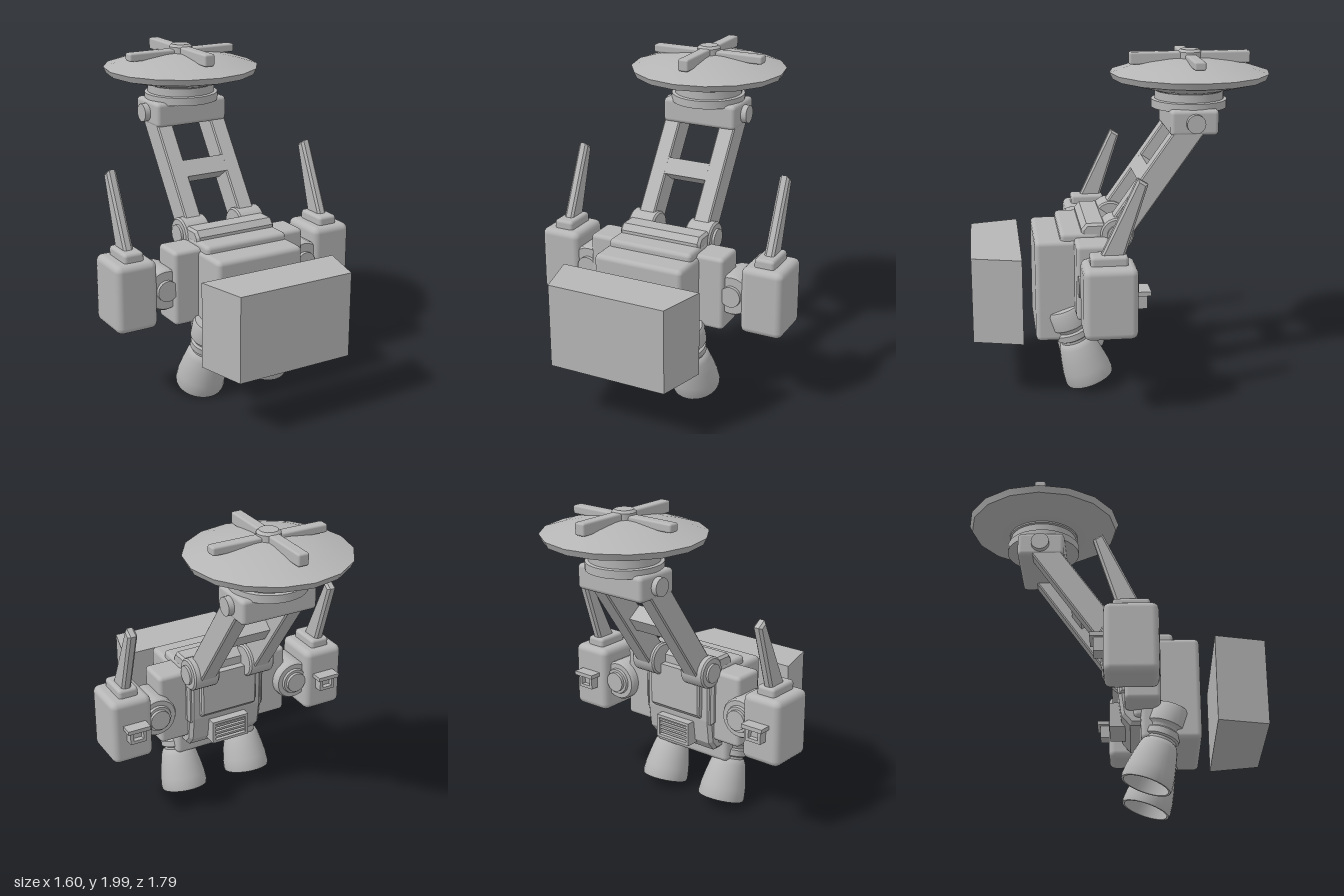
import * as THREE from 'three';
import { toCreasedNormals } from 'three/addons/utils/BufferGeometryUtils.js';
import { RoundedBoxGeometry } from 'three/addons/geometries/RoundedBoxGeometry.js';

export function createModel() {
  const model = new THREE.Group();
  const grey = new THREE.MeshStandardMaterial({ color: 0xb6b6b6 });

  const add = (name, geometry, parent = model) => {
    const mesh = new THREE.Mesh(geometry, grey);
    mesh.name = name;
    parent.add(mesh);
    return mesh;
  };
  // Bevelled box from its low and high corners
  const box = (name, [x0, y0, z0], [x1, y1, z1], r = 0.02, parent = model) => {
    const g = r > 0 ? new RoundedBoxGeometry(x1 - x0, y1 - y0, z1 - z0, 2, r)
      : new THREE.BoxGeometry(x1 - x0, y1 - y0, z1 - z0);
    g.translate((x0 + x1) / 2, (y0 + y1) / 2, (z0 + z1) / 2);
    return add(name, g, parent);
  };
  const lathe = (name, points, sides, parent = model) => add(name, toCreasedNormals(
    new THREE.LatheGeometry(points.map(p => new THREE.Vector2(...p)), sides), 0.6), parent);
  const polygon = points => new THREE.Shape(points.map(p => new THREE.Vector2(...p)));
  // Outline in (z, y), extruded along x around a centre
  const sideProfile = (name, points, x, width, bevel, parent = model) => {
    const g = new THREE.ExtrudeGeometry(polygon(points), {
      depth: width - 2 * bevel, bevelEnabled: bevel > 0, bevelSize: bevel,
      bevelThickness: bevel, bevelOffset: -bevel, bevelSegments: 1,
    });
    g.translate(0, 0, -(width - 2 * bevel) / 2).rotateY(-Math.PI / 2).translate(x, 0, 0);
    return add(name, g, parent);
  };

  // Front block, tapering towards the front
  const block = new THREE.ExtrudeGeometry(
    polygon([[-0.365, -0.895], [0.365, -0.895], [0.44, -0.605], [-0.44, -0.605]]),
    { depth: 0.51, bevelEnabled: false });
  block.rotateX(-Math.PI / 2).translate(0, 0.36, 0);
  add('frontBlock', block);

  // Stepped body
  box('chestFront', [-0.285, 0.31, 0.18], [0.285, 0.93, 0.525], 0.03);
  box('chestMiddleStep', [-0.27, 0.45, 0.14], [0.27, 0.972, 0.375], 0.025);
  sideProfile('chestUpperStep', [[0.06, 0.6], [0.25, 0.6], [0.25, 0.99], [0.22, 1.025], [0.12, 1.025], [0.06, 0.98]], 0, 0.53, 0.015);
  sideProfile('backBody', [[0.07, 0.47], [0.12, 0.41], [0.3, 0.41], [0.3, 0.9], [0.05, 0.9], [0.05, 0.62]], 0, 0.5, 0.02);
  sideProfile('backPanel', [[0.06, 0.62], [0.1, 0.62], [0.1, 0.93], [0.015, 0.93], [0.015, 0.66]], 0, 0.38, 0.01);

  // Back vent with slats
  const vent = new THREE.Group();
  vent.name = 'backVent';
  model.add(vent);
  box('ventBack', [-0.11, 0.45, 0.025], [0.11, 0.59, 0.1], 0, vent);
  for (const y of [0.445, 0.575]) box('ventRim', [-0.125, y, 0], [0.125, y + 0.018, 0.1], 0, vent);
  for (const x of [-0.125, 0.107]) box('ventSide', [x, 0.445, 0], [x + 0.018, 0.593, 0.1], 0, vent);
  for (let i = 0; i < 4; i++) box('ventSlat', [-0.11, 0.475 + i * 0.026, 0.006], [0.11, 0.488 + i * 0.026, 0.04], 0, vent);

  // Parts that repeat on both sides
  for (const s of [1, -1]) {
    const span = (a, b) => s > 0 ? [a, b] : [-b, -a];
    const sbox = (name, [x0, x1], [y0, y1], [z0, z1], r, parent) => {
      const [a, b] = span(x0, x1);
      return box(name, [a, y0, z0], [b, y1, z1], r, parent);
    };

    // Shoulder box and joint
    sbox('shoulderBox', [0.24, 0.44], [0.49, 0.945], [0.09, 0.295], 0.025);
    const joint = lathe('shoulderJoint', [[0, 0], [0.063, 0], [0.063, 0.02], [0.08, 0.02], [0.085, 0.035],
      [0.115, 0.035], [0.125, 0.05], [0.125, 0.25], [0.115, 0.265], [0.063, 0.265], [0.063, 0.288], [0, 0.288]], 24);
    joint.rotation.x = Math.PI / 2;
    joint.position.set(s * 0.48, 0.715, 0);

    // Side pod with fin and rear handle
    const pod = new THREE.Group();
    pod.name = 'sidePod';
    model.add(pod);
    sbox('podBody', [0.54, 0.8], [0.5, 0.915], [-0.02, 0.285], 0.04, pod);
    sbox('podStep', [0.605, 0.73], [0.88, 0.968], [0.03, 0.24], 0.02, pod);
    sideProfile('podFin', [[0.185, 0.95], [0.05, 0.95], [-0.08, 1.36], [-0.025, 1.395]], s * 0.67, 0.06, 0.014, pod);
    sbox('handleTop', [0.59, 0.735], [0.735, 0.76], [-0.095, 0], 0, pod);
    sbox('handleBottom', [0.61, 0.715], [0.655, 0.675], [-0.075, 0], 0, pod);
    for (const x of [0.61, 0.695]) sbox('handleSide', [x, x + 0.02], [0.655, 0.74], [-0.075, 0], 0, pod);
    sbox('handleInner', [0.61, 0.715], [0.655, 0.74], [-0.045, 0], 0, pod);

    // Lower pivot
    const pivot = lathe('armPivot', [[0, -0.1], [0.06, -0.1], [0.06, -0.085], [0.09, -0.085], [0.1, -0.075],
      [0.1, 0.075], [0.09, 0.085], [0, 0.085]], 24);
    pivot.rotation.z = s * Math.PI / 2;
    pivot.position.set(s * 0.19, 0.955, 0.04);

    // Slanted arm
    sideProfile('arm', [[0.1, 0.99], [-0.025, 0.9], [-0.48, 1.545], [-0.355, 1.635]], s * 0.183, 0.105, 0.008);

    // Upper pin
    const pin = add('headPin', new THREE.CylinderGeometry(0.055, 0.055, 0.08, 24));
    pin.rotation.z = Math.PI / 2;
    pin.position.set(s * 0.235, 1.6, -0.42);

    // Thruster, open at the mouth
    const thruster = lathe('thruster', [[0, 0.24], [0.07, 0.23], [0.11, 0.12], [0.13, 0.02], [0.132, 0],
      [0.144, 0], [0.148, 0.02], [0.143, 0.08], [0.13, 0.15], [0.112, 0.23], [0.1, 0.255], [0.088, 0.265],
      [0.088, 0.28], [0.102, 0.288], [0.102, 0.325], [0.088, 0.335], [0.093, 0.35], [0.112, 0.365],
      [0.112, 0.46], [0.1, 0.48], [0, 0.485]], 28);
    thruster.rotation.x = 0.327;
    thruster.position.set(s * 0.23, 0.053, 0.204);
  }

  // Bar between the arms
  const bar = add('armCrossbar', new THREE.BoxGeometry(0.28, 0.105, 0.11));
  bar.position.set(0, 1.27, -0.165);
  bar.rotation.x = -0.615;

  // Head, neck and dish
  box('headBlock', [-0.24, 1.525, -0.56], [0.24, 1.677, -0.275], 0.025);
  const head = new THREE.Group();
  head.name = 'dishAssembly';
  head.position.z = -0.42;
  model.add(head);
  lathe('neck', [[0, 1.66], [0.225, 1.66], [0.225, 1.708], [0.205, 1.712], [0.205, 1.76], [0.215, 1.765], [0.215, 1.8]], 32, head);
  lathe('dish', [[0, 1.775], [0.25, 1.775], [0.457, 1.83], [0.475, 1.868], [0.36, 1.905], [0.25, 1.93],
    [0.12, 1.947], [0, 1.95]], 16, head);
  box('crossBladeWide', [-0.36, 1.922, -0.034], [0.36, 1.973, 0.034], 0.012, head);
  box('crossBladeLong', [-0.034, 1.915, -0.36], [0.034, 1.988, 0.36], 0.012, head);
  lathe('hub', [[0, 1.92], [0.07, 1.92], [0.07, 1.985], [0.055, 2], [0, 2]], 20, head);

  return model;
}
